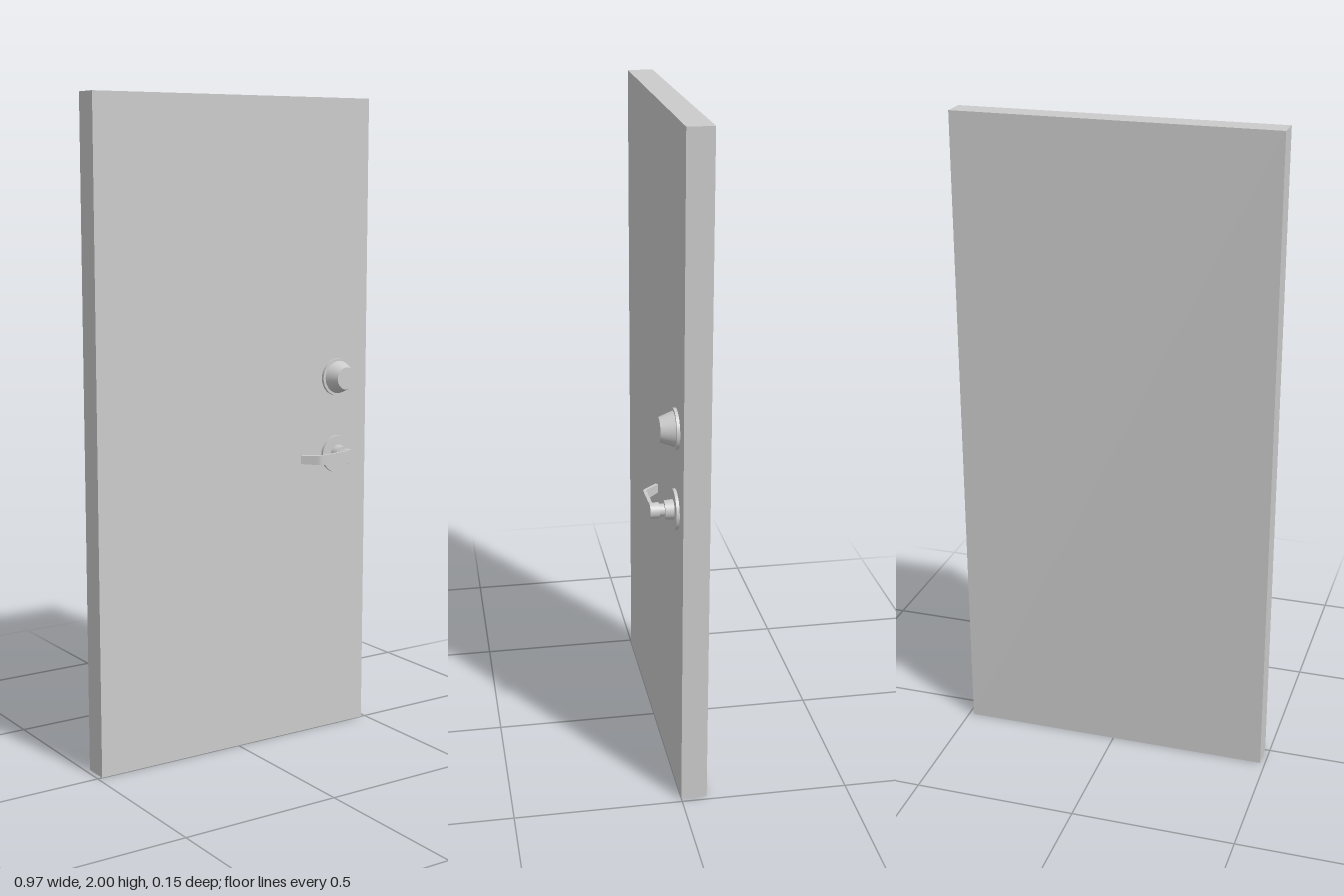
import * as THREE from 'three';

const material = new THREE.MeshStandardMaterial({ color: 0xcccccc, side: THREE.DoubleSide });

function add(parent, name, geometry) {
  const mesh = new THREE.Mesh(geometry, material);
  mesh.name = name;
  parent.add(mesh);
  return mesh;
}

// Round part along z, from z0 (radius r0) to z1 (radius r1)
function addRound(parent, name, r0, r1, z0, z1) {
  const geometry = new THREE.CylinderGeometry(r1, r0, z1 - z0, 40);
  geometry.rotateX(Math.PI / 2).translate(0, 0, (z0 + z1) / 2);
  return add(parent, name, geometry);
}

// Lever: bent strip drawn in plan, extruded vertically, taller near the hub
function leverGeometry() {
  const plan = new THREE.Shape();
  plan.moveTo(0, 0.077);
  plan.lineTo(-0.105, 0.077);
  plan.quadraticCurveTo(-0.116, 0.077, -0.124, 0.069);
  plan.lineTo(-0.161, 0.032);
  plan.lineTo(-0.153, 0.026);
  plan.lineTo(-0.118, 0.061);
  plan.quadraticCurveTo(-0.112, 0.067, -0.104, 0.067);
  plan.lineTo(-0.06, 0.067);
  plan.lineTo(0, 0.067);
  const geometry = new THREE.ExtrudeGeometry(plan, { depth: 1, bevelEnabled: false, curveSegments: 6 });
  geometry.translate(0, 0, -0.5).rotateX(Math.PI / 2);
  const p = geometry.attributes.position;
  for (let i = 0; i < p.count; i++) {
    const t = THREE.MathUtils.clamp((p.getX(i) + 0.161) / 0.161, 0, 1);
    p.setY(i, p.getY(i) * (0.026 + 0.014 * t));
  }
  geometry.computeVertexNormals();
  return geometry;
}

export function createModel() {
  const model = new THREE.Group();
  model.name = 'door';

  // Door slab, its front face on z = 0
  add(model, 'doorPanel', new THREE.BoxGeometry(0.97, 2, 0.077).translate(0, 1, -0.0385));

  // Deadbolt: flat rosette with a tapered lock housing
  const deadbolt = new THREE.Group();
  deadbolt.name = 'deadbolt';
  deadbolt.position.set(0.372, 1.14, 0);
  addRound(deadbolt, 'deadboltRosette', 0.059, 0.059, 0, 0.009);
  addRound(deadbolt, 'deadboltHousing', 0.051, 0.035, 0.009, 0.051);
  model.add(deadbolt);

  // Lever handle: rosette, stepped neck, hub and bent lever
  const handle = new THREE.Group();
  handle.name = 'leverHandle';
  handle.position.set(0.372, 0.895, 0);
  addRound(handle, 'handleRosette', 0.059, 0.059, 0, 0.009);
  addRound(handle, 'handleCollar', 0.029, 0.027, 0.009, 0.035);
  addRound(handle, 'handleNeck', 0.018, 0.018, 0.035, 0.05);
  addRound(handle, 'handleHub', 0.023, 0.023, 0.05, 0.077);
  add(handle, 'lever', leverGeometry());
  model.add(handle);

  return model;
}
